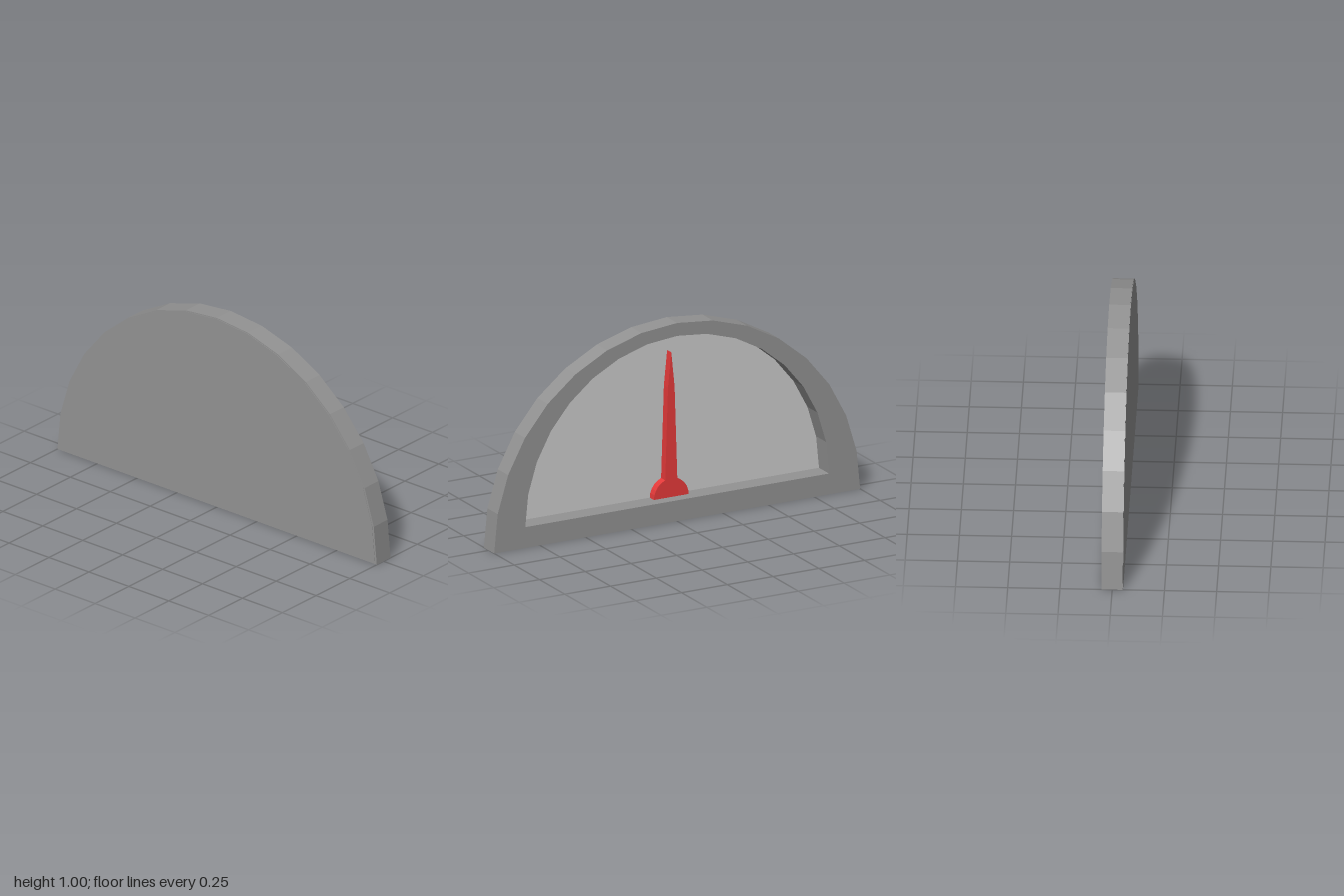
import * as THREE from 'three';

const SEGMENTS = 16;

// Points of a half circle from +x over the top to -x
function arcPoints(radius, baseY, from = 0, to = Math.PI, n = SEGMENTS) {
  return Array.from({ length: n + 1 }, (_, i) => {
    const a = from + (to - from) * i / n;
    return new THREE.Vector2(radius * Math.cos(a), baseY + radius * Math.sin(a));
  });
}

// Extrudes an outline sideways, from x0 to x1
function slab(name, shape, x0, x1, color) {
  const geometry = new THREE.ExtrudeGeometry(shape, { depth: x1 - x0, bevelEnabled: false });
  geometry.rotateY(Math.PI / 2);
  geometry.translate(x0, 0, 0);
  const mesh = new THREE.Mesh(geometry, new THREE.MeshStandardMaterial({ color, flatShading: true }));
  mesh.name = name;
  return mesh;
}

export function createModel() {
  const group = new THREE.Group();
  group.name = 'halfRoundGauge';
  const frameColor = 0x939393;

  // Half-round frame with a raised rim around the dial opening
  const rim = new THREE.Shape(arcPoints(1, 0));
  rim.holes.push(new THREE.Path(arcPoints(0.83, 0.105).reverse()));
  group.add(slab('frame', rim, -0.05, 0.052, frameColor));

  // Thin plate closing the back
  group.add(slab('backPlate', new THREE.Shape(arcPoints(0.99, 0.004)), -0.052, -0.049, frameColor));

  // Light dial face at the bottom of the recess
  group.add(slab('dialFace', new THREE.Shape(arcPoints(0.83, 0.105)), -0.049, -0.047, 0xcccccc));

  // Needle: rounded hub running into a tapering pointer
  const join = Math.acos(0.033 / 0.095);
  const right = [
    ...arcPoints(0.095, 0.105, 0, join, 5),
    new THREE.Vector2(0.018, 0.66),
  ];
  const left = right.map((p) => new THREE.Vector2(-p.x, p.y)).reverse();
  const needle = new THREE.Shape([...right, new THREE.Vector2(0, 0.835), ...left]);
  group.add(slab('needle', needle, -0.047, -0.006, 0xe63a3a));

  return group;
}
